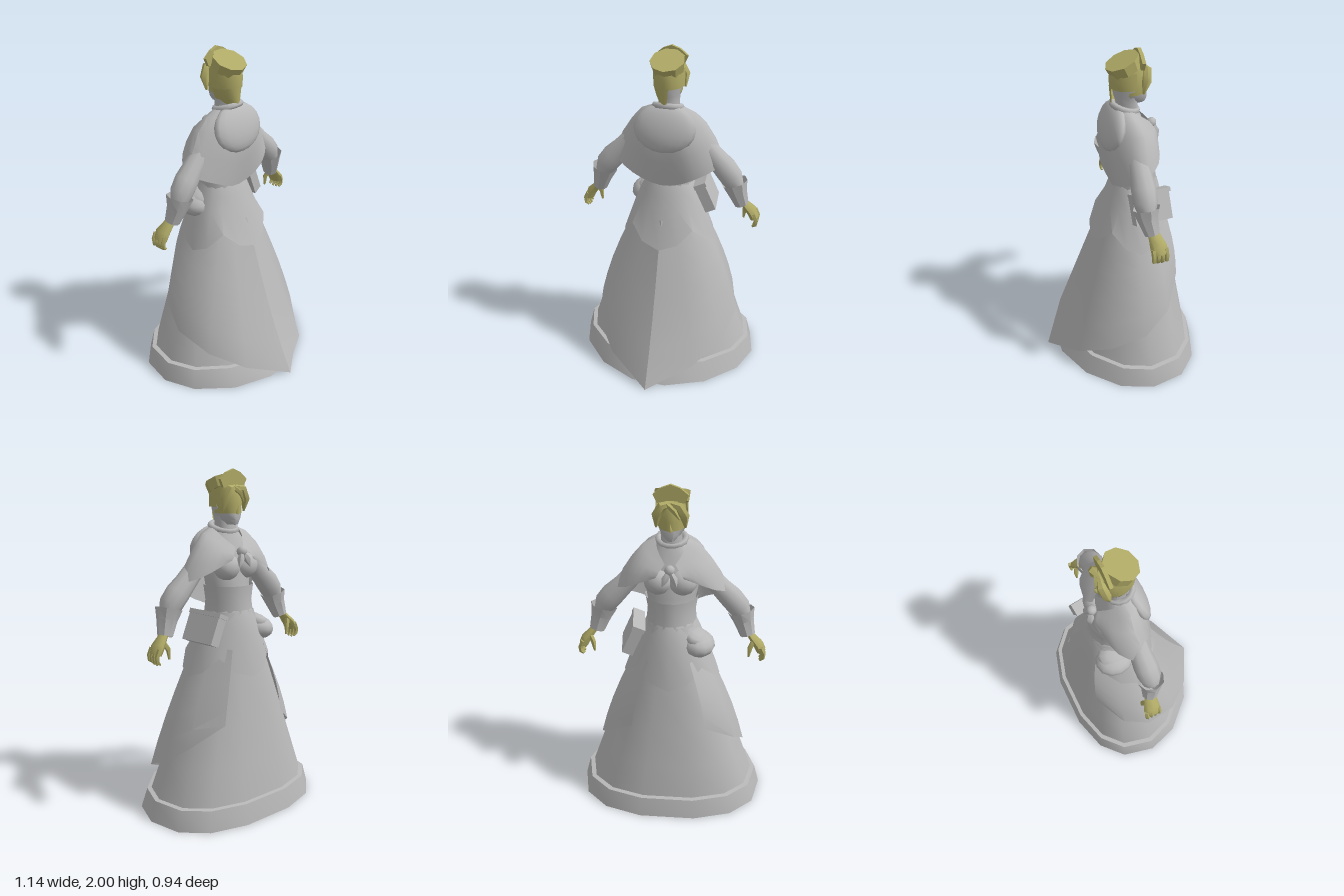
import * as THREE from 'three';
import { toCreasedNormals } from 'three/addons/utils/BufferGeometryUtils.js';

const CZ = -0.08; // body axis depth

// Skin a list of point rings (bottom to top, counterclockwise seen from above)
function loft(rings, closed = true, crease = 0.75) {
  const n = rings[0].length, pos = rings.flat(2), idx = [];
  for (let i = 0; i < rings.length - 1; i++) {
    for (let j = 0; j < (closed ? n : n - 1); j++) {
      const a = i * n + j, b = i * n + (j + 1) % n;
      idx.push(a, b, a + n, b, b + n, a + n);
    }
  }
  const g = new THREE.BufferGeometry();
  g.setAttribute('position', new THREE.Float32BufferAttribute(pos, 3));
  g.setIndex(idx);
  return toCreasedNormals(g, crease);
}

// Point on a horizontal oval with separate front (-z) and back (+z) depth
function ovalPoint([y, rx, zf, zb], a, frontPow = 1, backPow = 1) {
  const s = Math.sin(a), c = Math.cos(a), p = c > 0 ? backPow : frontPow;
  const depth = c > 0 ? zb - CZ : CZ - zf;
  return [Math.sign(s) * Math.abs(s) ** p * rx, y, CZ + Math.sign(c) * Math.abs(c) ** p * depth];
}
const ovals = (rows, n = 14, fp, bp) => rows.map(r =>
  Array.from({ length: n }, (_, k) => ovalPoint(r, (k + 0.5) / n * Math.PI * 2, fp, bp)));
const shell = (rows, from, to, n = 9) => loft(rows.map(r =>
  Array.from({ length: n }, (_, k) => ovalPoint(r, from + (to - from) * k / (n - 1)))), false);
const point = (y, z, n = 14) => Array.from({ length: n }, () => [0, y, z]);

// Tapered limb through [x, y, z, radius] stations; flat squeezes it sideways
function limb(pts, n = 8, flat = 1, caps = true) {
  const v = pts.map(p => new THREE.Vector3(p[0], p[1], p[2]));
  const rings = v.map((p, i) => {
    const d = v[Math.min(i + 1, v.length - 1)].clone().sub(v[Math.max(i - 1, 0)]).normalize();
    const side = new THREE.Vector3().crossVectors(d, new THREE.Vector3(0, 0, 1)).normalize();
    const deep = new THREE.Vector3().crossVectors(side, d);
    return Array.from({ length: n }, (_, k) => {
      const a = -k / n * Math.PI * 2, r = pts[i][3];
      return p.clone().addScaledVector(side, Math.cos(a) * r * flat)
        .addScaledVector(deep, Math.sin(a) * r).toArray();
    });
  });
  if (caps) {
    const cap = p => Array.from({ length: n }, () => p.toArray());
    rings.unshift(cap(v[0]));
    rings.push(cap(v[v.length - 1]));
  }
  return loft(rings);
}

export function createModel() {
  const root = new THREE.Group();
  root.name = 'robedWoman';
  const cloth = new THREE.MeshStandardMaterial({ color: 0xb8b8b8, side: THREE.DoubleSide });
  cloth.name = 'greyCloth';
  const khaki = new THREE.MeshStandardMaterial({ color: 0xb0aa66, side: THREE.DoubleSide });
  khaki.name = 'khaki';
  const add = (name, geo, mat = cloth, p = [0, 0, 0], r = [0, 0, 0], s = [1, 1, 1]) => {
    const m = new THREE.Mesh(geo, mat);
    m.name = name;
    m.position.set(...p);
    m.rotation.set(...r);
    m.scale.set(...s);
    root.add(m);
  };
  const flip = (pts, s) => pts.map(p => [p[0] * s, ...p.slice(1)]);

  // Skirt, with a projecting hem band and a closed underside
  add('skirt', loft(ovals([[0.1, 0.52, -0.435, 0.34], [0.33, 0.44, -0.395, 0.25], [0.56, 0.36, -0.355, 0.18],
    [0.85, 0.255, -0.31, 0.1], [1, 0.195, -0.28, 0.06], [1.2, 0.14, -0.245, 0.02]], 14, 0.82, 1.12)));
  add('hemBand', loft([point(0, CZ), ...ovals([[0, 0.572, -0.48, 0.415], [0.12, 0.54, -0.455, 0.355],
    [0.123, 0.51, -0.43, 0.33]], 14, 0.82, 1.12)]));

  // Trailing overskirt: two halves meeting in a ridge, open at the face side
  const hem = [[0, 0, 0.473], [0.26, 0.125, 0.325], [0.41, 0.235, 0.15], [0.455, 0.33, -0.06],
    [0.395, 0.45, -0.22], [0.22, 0.58, -0.33]];
  const hip = [[0, 1, 0.1], [0.09, 1, 0.065], [0.16, 1, 0.03], [0.205, 1, -0.06], [0.19, 1, -0.17], [0.12, 1, -0.275]];
  const swell = [-0.06, 0, 0.04, 0.06, 0.06, 0.06];
  for (const s of [1, -1]) {
    const rows = [0, 0.2, 0.4, 0.6, 0.8, 1].map(t => {
      const row = hem.map((h, j) => {
        const p = h.map((c, k) => c + (hip[j][k] - c) * t);
        const bulge = 1 + swell[j] * Math.sin(Math.PI * t);
        return [p[0] * s * bulge, p[1], CZ + (p[2] - CZ) * bulge];
      });
      return s > 0 ? row : row.reverse();
    });
    add('overskirtHalf', loft(rows, false));
  }

  // Peplum with pointed lower edge
  const angles = Array.from({ length: 16 }, (_, k) => k / 16 * Math.PI * 2);
  const edge = angles.map(a => {
    const y = 0.95 - 0.12 * Math.abs(Math.cos(2 * a)), r = 1 + (0.88 - y) * 0.7;
    return ovalPoint([y, 0.28 * r, CZ - 0.238 * r, CZ + 0.235 * r], a);
  });
  const hoops = [[1.07, 0.205, -0.285, 0.07], [1.15, 0.17, -0.265, 0.045], [1.21, 0.14, -0.245, 0.02]];
  add('peplum', loft([edge, ...hoops.map(h => angles.map(a => ovalPoint(h, a)))]));

  // Torso, corset and bust
  add('torso', loft(ovals([[1.18, 0.14, -0.24, 0.02], [1.28, 0.132, -0.22, 0.01], [1.36, 0.145, -0.2, 0.01],
    [1.46, 0.165, -0.2, 0.025], [1.56, 0.15, -0.165, 0.03], [1.63, 0.09, -0.135, 0], [1.67, 0.065, -0.12, 0]])));
  add('corset', loft(ovals([[1.18, 0.148, -0.25, 0.025], [1.26, 0.14, -0.235, 0.018], [1.35, 0.155, -0.24, 0.02]])));
  for (const s of [1, -1]) {
    add('bust', new THREE.SphereGeometry(0.075, 12, 8), cloth, [s * 0.068, 1.455, -0.16], [0, 0, 0], [1.12, 1, 0.95]);
  }

  // Shoulder cape, rows run from the spine round to the chest
  const capeRows = [
    [[0, 1.206, 0.04], [0.19, 1.275, 0.05], [0.335, 1.36, -0.05], [0.25, 1.42, -0.175], [0.08, 1.5, -0.22]],
    [[0, 1.35, 0.06], [0.16, 1.42, 0.058], [0.28, 1.485, -0.06], [0.215, 1.49, -0.175], [0.07, 1.515, -0.225]],
    [[0, 1.5, 0.07], [0.12, 1.54, 0.055], [0.222, 1.575, -0.07], [0.165, 1.56, -0.165], [0.06, 1.535, -0.215]],
    [[0, 1.62, 0.05], [0.08, 1.63, 0.035], [0.16, 1.645, -0.06], [0.12, 1.6, -0.14], [0.045, 1.55, -0.205]],
    [[0, 1.685, 0.015], [0.05, 1.685, 0], [0.085, 1.675, -0.06], [0.075, 1.63, -0.125], [0.03, 1.57, -0.19]],
  ];
  const cape = capeRows.map(row => {
    const full = [...flip(row.slice(1), -1).reverse(), ...row];
    return new THREE.CatmullRomCurve3(full.map(p => new THREE.Vector3(...p))).getPoints(24).map(p => p.toArray());
  });
  add('cape', loft(cape, false));
  add('hood', new THREE.SphereGeometry(1, 16, 10), cloth, [0, 1.56, 0.025], [-0.32, 0, 0], [0.185, 0.14, 0.058]);
  add('collar', new THREE.TorusGeometry(0.078, 0.018, 6, 14), cloth, [0, 1.672, -0.05], [Math.PI / 2 - 0.3, 0, 0], [1, 0.95, 1]);
  add('knot', new THREE.SphereGeometry(0.03, 8, 6), cloth, [0, 1.545, -0.213]);
  for (const s of [1, -1]) {
    add('knotTail', limb([[s * 0.005, 1.54, -0.22, 0.012], [s * 0.025, 1.5, -0.235, 0.022], [s * 0.04, 1.46, -0.24, 0.003]], 5));
  }

  // Arms and hands
  for (const s of [1, -1]) {
    const part = (name, pts, mat, n, flat, caps) => add(name, limb(flip(pts, s), n, flat, caps), mat);
    part('sleeve', [[0.15, 1.52, -0.06, 0.05], [0.22, 1.45, -0.06, 0.058], [0.285, 1.38, -0.06, 0.062],
      [0.342, 1.322, -0.058, 0.07], [0.387, 1.265, -0.055, 0.068], [0.412, 1.215, -0.055, 0.05]], cloth, 10);
    part('cuff', [[0.402, 1.243, -0.055, 0.079], [0.42, 1.18, -0.06, 0.06], [0.447, 1.095, -0.078, 0.044]], cloth, 8, 1, false);
    part('palm', [[0.443, 1.125, -0.075, 0.03], [0.475, 1.085, -0.085, 0.038], [0.51, 1.045, -0.095, 0.05],
      [0.528, 1.005, -0.097, 0.046]], khaki, 8, 0.6);
    for (let f = 0; f < 4; f++) {
      const z = -0.06 - f * 0.025, tip = 0.945 + Math.abs(f - 1.6) * 0.008;
      part('finger', [[0.525, 1.04, z, 0.014], [0.543, 1, z, 0.014], [0.54, 0.97, z, 0.012], [0.523, tip, z, 0.007]], khaki, 5);
    }
    part('thumb', [[0.485, 1.075, -0.11, 0.016], [0.462, 1.03, -0.13, 0.015], [0.457, 0.975, -0.13, 0.007]], khaki, 5);
  }

  // Side satchel and rounded pouch
  add('satchel', new THREE.BoxGeometry(0.065, 0.17, 0.23), cloth, [0.222, 1.115, -0.145], [0, 0.12, 0.42]);
  add('satchelFlap', new THREE.BoxGeometry(0.075, 0.025, 0.24), cloth, [0.188, 1.195, -0.145], [0, 0.12, 0.42]);
  add('pouch', new THREE.SphereGeometry(1, 12, 8), cloth, [-0.16, 1.075, -0.165], [0, 0, 0.15], [0.1, 0.072, 0.115]);
  add('pouchLid', new THREE.SphereGeometry(1, 10, 6), cloth, [-0.145, 1.115, -0.16], [0, 0, 0.35], [0.085, 0.05, 0.1]);

  // Head: grey neck and jaw, khaki upper face and hair, one side of the nape left bare
  add('neck', loft(ovals([[1.62, 0.065, -0.125, 0.005], [1.7, 0.06, -0.125, 0], [1.74, 0.067, -0.11, 0.012],
    [1.805, 0.083, -0.095, 0.022]], 12)));
  add('jaw', loft([point(1.69, -0.14, 12), ...ovals([[1.692, 0.032, -0.17, -0.06], [1.72, 0.058, -0.178, -0.03],
    [1.755, 0.073, -0.176, 0]], 12)]));
  add('upperFace', loft([...ovals([[1.755, 0.073, -0.176, 0], [1.8, 0.079, -0.174, 0.01], [1.85, 0.08, -0.175, 0.015],
    [1.91, 0.07, -0.155, 0.01]], 12), point(1.92, CZ, 12)]), khaki);
  add('nose', new THREE.ConeGeometry(0.014, 0.05, 4), khaki, [0, 1.778, -0.178], [-0.3, 0, 0]);
  add('backHair', shell([[1.79, 0.09, -0.12, 0.037], [1.84, 0.092, -0.12, 0.04], [1.89, 0.09, -0.13, 0.036]], -1.85, 1.85), khaki);
  add('napeHair', shell([[1.69, 0.045, -0.1, 0.03], [1.74, 0.072, -0.11, 0.033], [1.795, 0.089, -0.12, 0.037]], -1.85, 0.25), khaki);
  for (const s of [1, -1]) {
    add('fringe', limb(flip([[0, 1.9, -0.15, 0.014], [0.045, 1.89, -0.162, 0.026], [0.076, 1.835, -0.152, 0.027],
      [0.08, 1.765, -0.135, 0.006]], s), 6), khaki);
  }
  add('fringeLock', limb([[0.02, 1.9, -0.16, 0.014], [-0.02, 1.87, -0.174, 0.016], [-0.05, 1.82, -0.17, 0.004]], 5), khaki);

  // Tilted faceted cap with a broad raised peak
  const hat = new THREE.CylinderGeometry(0.1, 0.092, 0.06, 9).toNonIndexed();
  hat.computeVertexNormals();
  add('cap', hat, khaki, [0, 1.913, -0.045], [0.42, 0, 0]);
  const peak = new THREE.Shape([[-0.075, 1.9], [0.075, 1.9], [0.096, 1.945], [0.05, 1.982], [0, 2], [-0.05, 1.982],
    [-0.096, 1.945]].map(p => new THREE.Vector2(...p)));
  add('capPeak', new THREE.ExtrudeGeometry(peak, { depth: 0.02, bevelEnabled: false }), khaki, [0, 0, -0.14]);
  return root;
}
